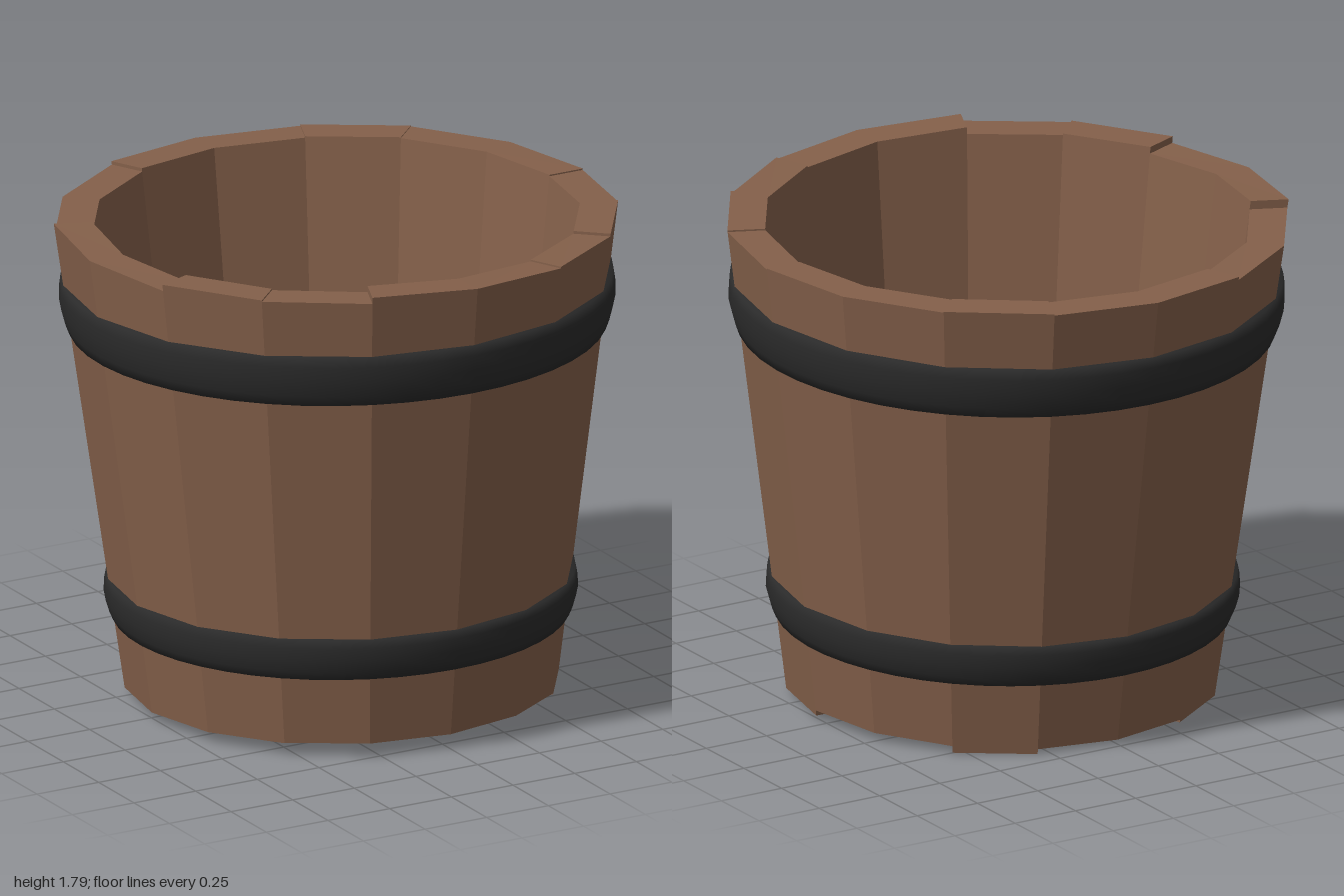
import * as THREE from 'three';

const wood = new THREE.MeshStandardMaterial({ color: 0x84604a });
wood.name = 'brown wood';
const iron = new THREE.MeshStandardMaterial({ color: 0x2a2a2a });
iron.name = 'black iron';

const STEP = Math.PI / 8; // the wall has sixteen facets
const outerRadius = (y) => 0.77 + (y - 0.03) * 0.1337;
const INNER = 0.865;

// Staves: first and last facet edge (0 = front, rising towards +x), top heights, bottom heights
const staves = [
  [-1, 1, 1.764, 1.739, 0.037, 0.037],
  [1, 2, 1.745, 1.74, 0.036, 0.03],
  [2, 3, 1.75, 1.747, 0.025, 0.02],
  [3, 4, 1.741, 1.737, 0.018, 0.02],
  [4, 6, 1.742, 1.75, 0.04, 0.04],
  [6, 7, 1.753, 1.753, 0.014, 0.016],
  [7, 9, 1.748, 1.75, 0.035, 0.035],
  [9, 10, 1.738, 1.736, 0.025, 0.025],
  [10, 11, 1.736, 1.734, 0.04, 0.04],
  [11, 13, 1.765, 1.73, 0.035, 0.035],
  [13, 14, 1.754, 1.749, 0.035, 0.035],
  [14, 15, 1.744, 1.74, 0.037, 0.037],
];

function staveGeometry([from, to, top0, top1, low0, low1]) {
  const pos = [];
  const quad = (a, b, c, d) => [a, b, c, a, c, d].forEach((p) => pos.push(...p));
  const point = (k, y, scale) => {
    const r = outerRadius(y) * scale;
    return [Math.sin(k * STEP) * r, y, Math.cos(k * STEP) * r];
  };
  // Corners of one cross-section: outer low, outer top, inner top, inner low
  const section = (k) => {
    const t = (k - from) / (to - from);
    const top = top0 + (top1 - top0) * t;
    const low = low0 + (low1 - low0) * t;
    return [point(k, low, 1), point(k, top, 1), point(k, top, INNER), point(k, low, INNER)];
  };
  for (let k = from; k < to; k++) {
    const a = section(k), b = section(k + 1);
    for (let i = 0; i < 4; i++) {
      const j = (i + 1) % 4;
      quad(a[i], b[i], b[j], a[j]);
    }
  }
  quad(...section(from));
  quad(...section(to).reverse());
  const g = new THREE.BufferGeometry();
  g.setAttribute('position', new THREE.Float32BufferAttribute(pos, 3));
  g.computeVertexNormals();
  return g;
}

function add(parent, name, geometry, material) {
  const mesh = new THREE.Mesh(geometry, material);
  mesh.name = name;
  parent.add(mesh);
  return mesh;
}

// Bulged band that follows the slope of the wall
function hoopGeometry(low, high) {
  const h = high - low;
  const at = (t, out) => new THREE.Vector2(outerRadius(low + h * t) + out, low + h * t);
  const profile = [
    at(0, -0.05), at(0, 0.004), at(0.2, 0.013), at(0.5, 0.02), at(0.8, 0.012), at(1, 0.002), at(1, -0.05),
  ];
  return new THREE.LatheGeometry(profile, 48);
}

export function createModel() {
  const model = new THREE.Group();
  model.name = 'bucket';

  // The whole bucket leans back slightly
  const body = new THREE.Group();
  body.name = 'leaningBody';
  body.rotation.x = -0.023;
  body.position.set(0, 0.002, 0.04);
  model.add(body);

  const wall = new THREE.Group();
  wall.name = 'wall';
  body.add(wall);
  staves.forEach((s) => add(wall, 'stave', staveGeometry(s), wood));

  // Floor disc, recessed a little from the underside
  const floor = new THREE.CylinderGeometry(0.69, 0.68, 0.07, 16).toNonIndexed();
  floor.computeVertexNormals();
  add(body, 'floor', floor, wood).position.y = 0.1;

  add(body, 'upperHoop', hoopGeometry(1.35, 1.535), iron);
  add(body, 'lowerHoop', hoopGeometry(0.288, 0.44), iron);

  return model;
}
